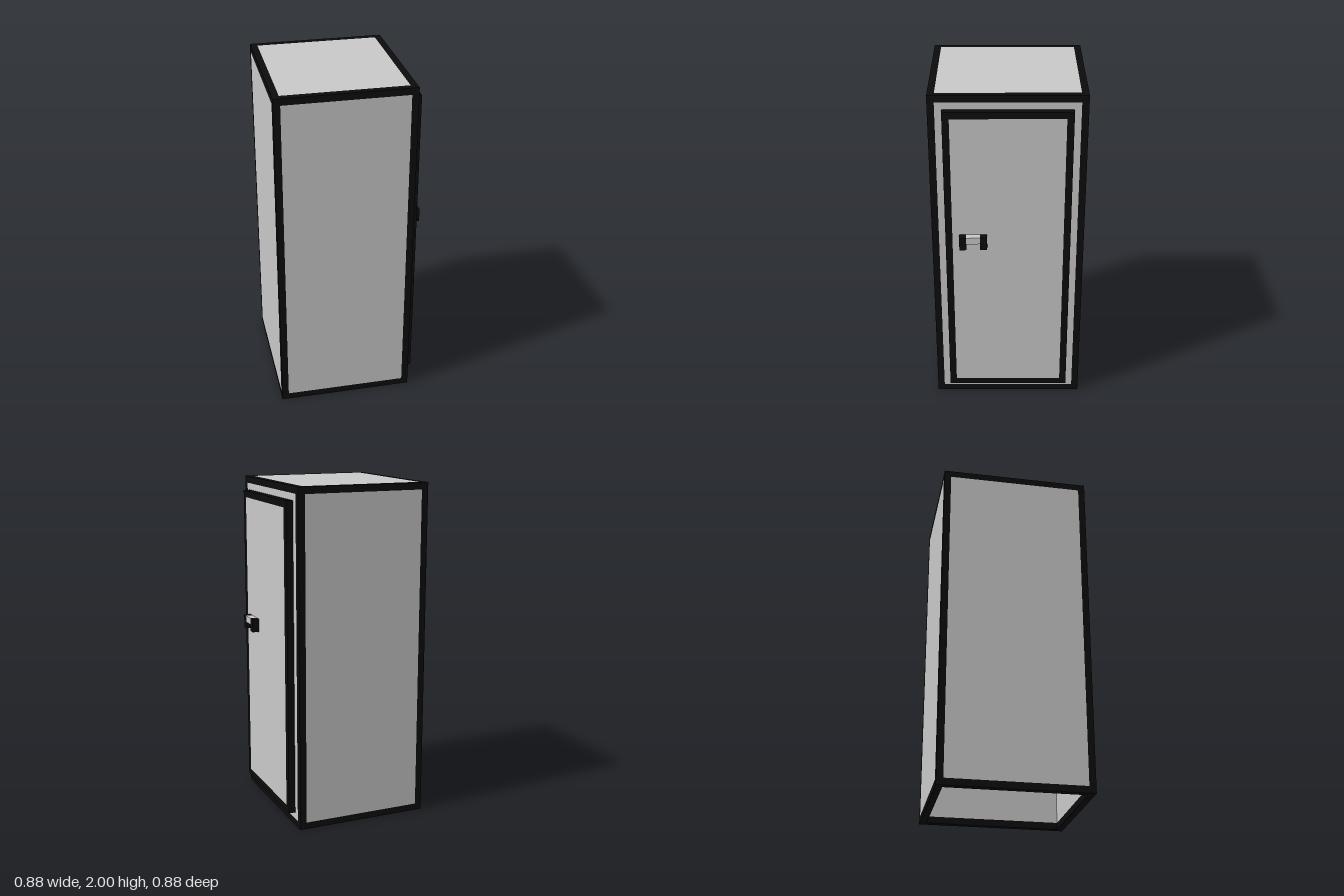
import * as THREE from 'three';

const trim = new THREE.MeshStandardMaterial({ color: 0x0c0c0c });
trim.name = 'blackTrim';
const panel = new THREE.MeshStandardMaterial({ color: 0xc9c9c9 });
panel.name = 'greyPanel';

const T = 0.04; // thickness of every wall and edge bar

// Box given by its minimum and maximum corners
function block(parent, name, material, [x0, y0, z0], [x1, y1, z1]) {
  const mesh = new THREE.Mesh(new THREE.BoxGeometry(x1 - x0, y1 - y0, z1 - z0), material);
  mesh.position.set((x0 + x1) / 2, (y0 + y1) / 2, (z0 + z1) / 2);
  mesh.name = name;
  parent.add(mesh);
}

export function createModel() {
  const model = new THREE.Group();
  model.name = 'cabinet';

  const body = new THREE.Group();
  body.name = 'body';
  const L = -0.44, R = 0.36, D = 0.44, H = 2;

  // Corner posts
  for (const x of [L, R - T]) {
    for (const z of [-D, D - T]) block(body, 'cornerPost', trim, [x, 0, z], [x + T, H, z + T]);
  }
  // Bars round the top and the open bottom
  for (const y of [0, H - T]) {
    for (const z of [-D, D - T]) block(body, 'crossBar', trim, [L + T, y, z], [R - T, y + T, z + T]);
    for (const x of [L, R - T]) block(body, 'sideBar', trim, [x, y, -D + T], [x + T, y + T, D - T]);
  }
  // Walls and roof, flush with the bars
  block(body, 'frontWall', panel, [L + T, T, D - T], [R - T, H - T, D]);
  block(body, 'backWall', panel, [L + T, T, -D], [R - T, H - T, -D + T]);
  block(body, 'rightWall', panel, [L, T, -D + T], [L + T, H - T, D - T]);
  block(body, 'doorWall', panel, [R - T, T, -D + T], [R, H - T, D - T]);
  block(body, 'roof', panel, [L + T, H - T, -D + T], [R - T, H, D - T]);

  // Door: raised panel with a dark border
  const door = new THREE.Group();
  door.name = 'door';
  const X = R + T, Z = 0.36, B = 0.08, U = 1.92;
  for (const z of [-Z, Z - T]) block(door, 'doorStile', trim, [R, B, z], [X, U, z + T]);
  for (const y of [B, U - T]) block(door, 'doorRail', trim, [R, y, -Z + T], [X, y + T, Z - T]);
  block(door, 'doorPanel', panel, [R, B + T, -Z + T], [X, U - T, Z - T]);

  // Handle: two dark brackets joined by a bar
  const handle = new THREE.Group();
  handle.name = 'handle';
  for (const z of [0.12, 0.24]) block(handle, 'handleBracket', trim, [X, 1.08, z], [X + T, 1.16, z + T]);
  block(handle, 'handleBar', panel, [X, 1.12, 0.16], [X + T, 1.16, 0.24]);
  door.add(handle);

  model.add(body, door);
  return model;
}
